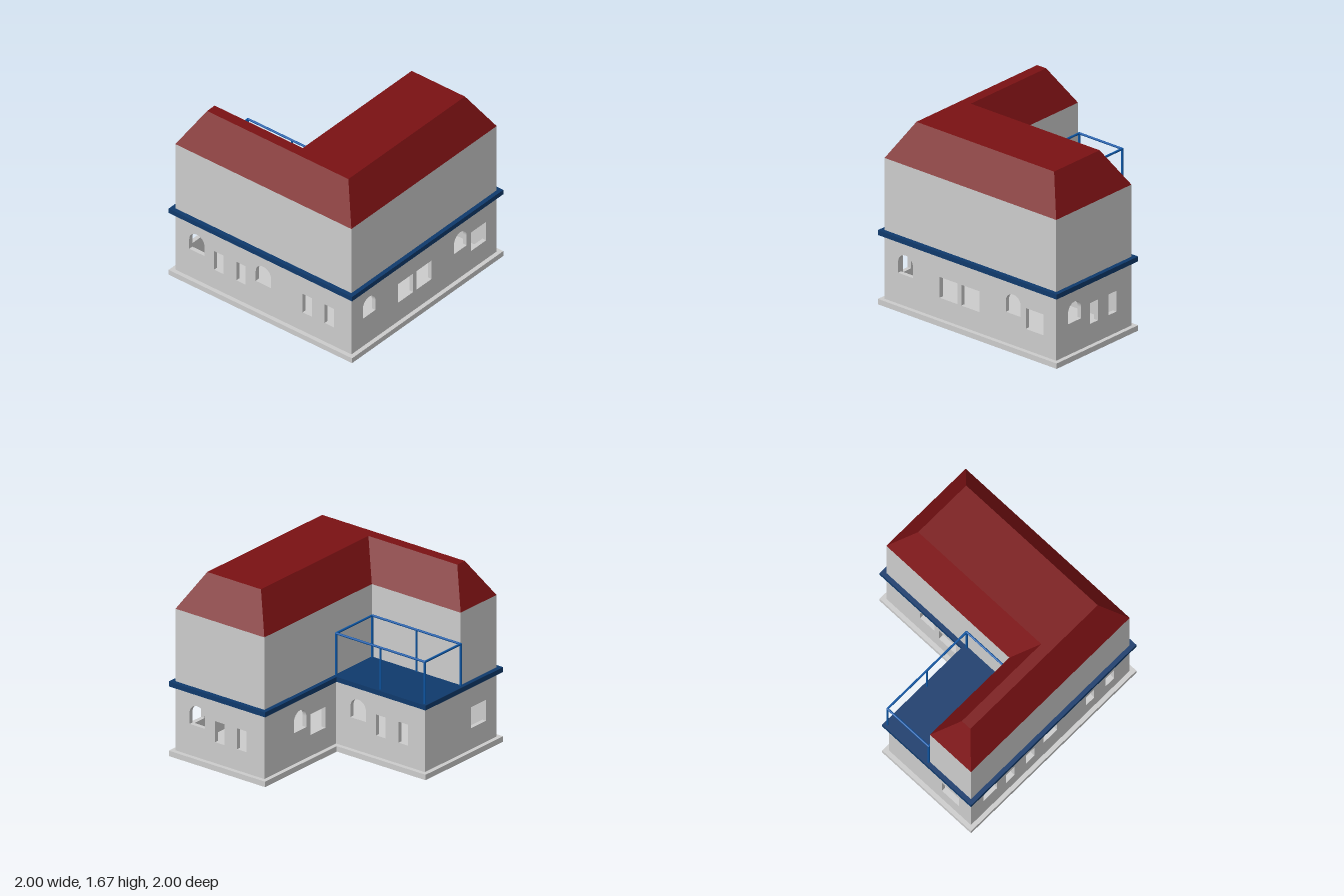
import * as THREE from 'three';

const W = 0.96;          // half width of the house
const T = 0.04;          // wall thickness
const PLINTH = 0.05, SLAB = 0.64, DECK = 0.685, EAVES = 1.35, RIDGE = 1.675;

const material = (color) => new THREE.MeshStandardMaterial({ color });

function addMesh(parent, name, geometry, mat) {
  const mesh = new THREE.Mesh(geometry, mat);
  mesh.name = name;
  parent.add(mesh);
  return mesh;
}

// L-shaped plan as 2D points (x, -z); the notch ends at x = 0, z = notchZ
function plan(notchZ, inset) {
  const e = W - inset;
  return [[-e, e], [e, e], [e, -e], [inset, -e], [inset, notchZ + inset], [-e, notchZ + inset]]
    .map(([x, z]) => new THREE.Vector2(x, -z));
}

function storey(points, y0, y1) {
  const geo = new THREE.ExtrudeGeometry(new THREE.Shape(points), { depth: y1 - y0, bevelEnabled: false });
  return geo.rotateX(-Math.PI / 2).translate(0, y0, 0);
}

// Window openings, centred at u along the wall
function rectWindow(u, w) {
  const h = w / 2;
  return new THREE.Path([[u - h, 0.243], [u - h, 0.435], [u + h, 0.435], [u + h, 0.243]]
    .map(([x, y]) => new THREE.Vector2(x, y)));
}

function archWindow(u) {
  const r = 0.083, p = new THREE.Path();
  p.moveTo(u - r, 0.335);
  p.lineTo(u + r, 0.335);
  p.absarc(u, 0.435, r, 0, Math.PI, false);
  p.lineTo(u - r, 0.335);
  return p;
}

// Pierced wall from u0 to u1; its outer face lies at the given offset
function wall(u0, u1, offset, angle, holes) {
  const shape = new THREE.Shape([[u0, PLINTH], [u1, PLINTH], [u1, SLAB], [u0, SLAB]]
    .map(([x, y]) => new THREE.Vector2(x, y)));
  shape.holes.push(...holes);
  const geo = new THREE.ExtrudeGeometry(shape, { depth: T, bevelEnabled: false, curveSegments: 20 });
  return geo.translate(0, 0, offset - T).rotateY(angle);
}

// Hipped roof with a flat top, built between two plan loops
function roofGeometry() {
  const low = plan(0.48, 0), high = plan(0.48, 0.19), pos = [];
  const put = (p, y) => pos.push(p.x, y, -p.y);
  low.forEach((a, i) => {
    const j = (i + 1) % low.length;
    put(a, EAVES); put(low[j], EAVES); put(high[j], RIDGE);
    put(a, EAVES); put(high[j], RIDGE); put(high[i], RIDGE);
  });
  THREE.ShapeUtils.triangulateShape(high, []).forEach((f) => f.forEach((k) => put(high[k], RIDGE)));
  const geo = new THREE.BufferGeometry();
  geo.setAttribute('position', new THREE.Float32BufferAttribute(pos, 3));
  geo.computeVertexNormals();
  return geo;
}

function bar(parent, name, from, to, mat) {
  const a = new THREE.Vector3(...from), b = new THREE.Vector3(...to);
  const mesh = addMesh(parent, name, new THREE.CylinderGeometry(0.01, 0.01, a.distanceTo(b), 12), mat);
  mesh.position.copy(a).add(b).multiplyScalar(0.5);
  mesh.quaternion.setFromUnitVectors(new THREE.Vector3(0, 1, 0), b.sub(a).normalize());
}

export function createModel() {
  const house = new THREE.Group();
  house.name = 'house';
  const grey = material(0xcccccc), red = material(0x7a1113);
  const navy = material(0x0f3a6c), blue = material(0x0d57a6);

  addMesh(house, 'plinth', storey(plan(0, -0.04), 0, PLINTH), grey);

  // Hollow ground floor
  const ground = new THREE.Group();
  ground.name = 'groundFloor';
  house.add(ground);
  const H = Math.PI / 2, n = 0.102, wide = 0.2;
  addMesh(ground, 'frontWall', wall(-W, W, W, 0, [
    archWindow(-0.725), rectWindow(-0.485, n), rectWindow(-0.243, n),
    archWindow(0), rectWindow(0.48, n), rectWindow(0.72, n)]), grey);
  addMesh(ground, 'leftWall', wall(-W + T, W, W, H, [
    archWindow(-0.725), rectWindow(-0.243, wide), rectWindow(0, wide),
    archWindow(0.48), rectWindow(0.72, wide)]), grey);
  addMesh(ground, 'backWall', wall(-W + T, 0, W, Math.PI, [
    archWindow(-0.725), rectWindow(-0.48, n), rectWindow(-0.243, n)]), grey);
  addMesh(ground, 'innerSideWall', wall(-W, T, 0, -H, [
    archWindow(-0.48), rectWindow(-0.243, wide)]), grey);
  addMesh(ground, 'innerBackWall', wall(0, W, 0, Math.PI, [
    archWindow(0.24), rectWindow(0.485, n), rectWindow(0.727, n)]), grey);
  addMesh(ground, 'rightWall', wall(T, W - T, W, -H, [rectWindow(0.72, wide)]), grey);

  addMesh(house, 'floorSlab', storey(plan(0, -0.04), SLAB, DECK), navy);
  addMesh(house, 'upperFloor', storey(plan(0.48, 0), DECK, EAVES), grey);
  addMesh(house, 'roof', roofGeometry(), red);

  // Terrace railing: a top rail all round, on six posts
  const railing = new THREE.Group();
  railing.name = 'terraceRailing';
  house.add(railing);
  const x0 = -0.967, x1 = -0.01, z0 = -0.01, z1 = 0.472, top = 1.067;
  const corners = [[x0, z0], [x1, z0], [x1, z1], [x0, z1]];
  corners.forEach(([x, z], i) => {
    const [nx, nz] = corners[(i + 1) % 4];
    bar(railing, 'rail', [x, top, z], [nx, top, nz], blue);
    addMesh(railing, 'railCorner', new THREE.SphereGeometry(0.01, 12, 8), blue).position.set(x, top, z);
  });
  const mid = (x0 + x1) / 2;
  [...corners, [mid, z0], [mid, z1]].forEach(([x, z]) =>
    bar(railing, 'railPost', [x, DECK, z], [x, top, z], blue));

  return house;
}
